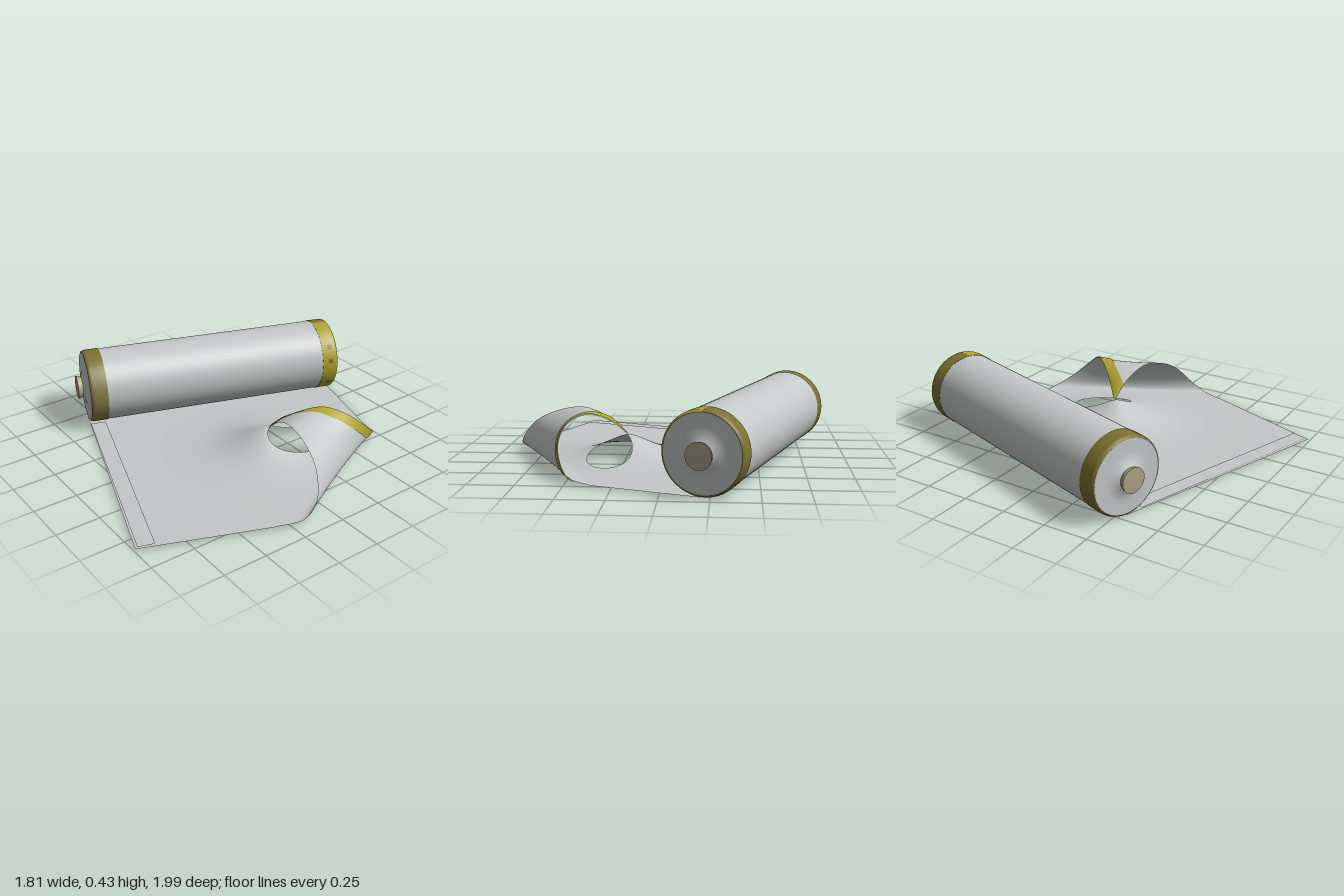
import * as THREE from 'three';

const R = 0.217, LEN = 1.554, BAND = 0.1;
const AXIS = new THREE.Vector3(0.3185, 0, -0.948).normalize(); // along the roll, front to back
const OUT = new THREE.Vector3(-AXIS.z, 0, AXIS.x);             // direction the sheet unrolls
const START = new THREE.Vector3(-0.705, 0.22, 0.545);          // centre of the roll's front end

const material = (name, color, side = THREE.FrontSide) => {
  const m = new THREE.MeshStandardMaterial({ color, side });
  m.name = name;
  return m;
};

// Surface from a rule fn(u, v) -> [x, y, z]
function surface(nu, nv, fn) {
  const pos = [], index = [];
  for (let i = 0; i <= nu; i++) for (let j = 0; j <= nv; j++) pos.push(...fn(i / nu, j / nv));
  for (let i = 0; i < nu; i++) for (let j = 0; j < nv; j++) {
    const a = i * (nv + 1) + j, b = a + nv + 1;
    index.push(a, b, a + 1, b, b + 1, a + 1);
  }
  const g = new THREE.BufferGeometry();
  g.setAttribute('position', new THREE.Float32BufferAttribute(pos, 3));
  g.setIndex(index);
  g.computeVertexNormals();
  return g;
}

// Height of the raised mound under the curled corner, and of the flat sheet
const mound = (x, z) => 0.135 * Math.exp(-Math.pow(Math.hypot(x - 0.235, z + 0.1) / 0.22, 1.5));
const flat = (x, z) => 0.006 + 0.007 * ((x - START.x) * OUT.x + (z - START.z) * OUT.z);

const curve = (pts) => new THREE.CatmullRomCurve3(pts.map((p) => new THREE.Vector3(...p)));
// Two edges of the curled corner, from the flat sheet up and over to the tip
const backEdge = curve([[0.36, 0.0102, -0.755], [0.475, 0.035, -0.71], [0.535, 0.1, -0.625], [0.558, 0.19, -0.525],
  [0.525, 0.265, -0.43], [0.44, 0.298, -0.34], [0.33, 0.245, -0.215], [0.23, 0.14, -0.11]]);
const sideEdge = curve([[0.86, 0.0159, 0.33], [0.905, 0.025, 0.17], [0.883, 0.085, 0.08], [0.79, 0.197, 0.01],
  [0.66, 0.265, -0.03], [0.5, 0.295, -0.06], [0.35, 0.245, -0.09], [0.23, 0.14, -0.11]]);

function curlPoint(t, s) {
  const p = backEdge.getPoint(t).lerp(sideEdge.getPoint(t), s);
  p.x -= 0.03 * Math.sin(Math.PI * s) * Math.sin(Math.PI * t);
  p.y += mound(p.x, p.z) * Math.max(0, 1 - t * 6);
  return p.toArray();
}

export function createModel() {
  const model = new THREE.Group();
  model.name = 'unrolledSheet';
  const grey = material('sheetGrey', 0xc5c8c8, THREE.DoubleSide);
  const yellow = material('bandYellow', 0xb0a42e, THREE.DoubleSide);
  const olive = material('bandOlive', 0x7b7130);
  const dullOlive = material('bandDullOlive', 0x847a46);
  const tan = material('hubTan', 0xaca286);
  const add = (parent, name, geometry, mat) => {
    const mesh = new THREE.Mesh(geometry, mat);
    mesh.name = name;
    parent.add(mesh);
  };

  // Roll, with its axis lying along local y and local z pointing up
  const roll = new THREE.Group();
  roll.name = 'roll';
  roll.quaternion.setFromRotationMatrix(new THREE.Matrix4().makeBasis(OUT, AXIS, new THREE.Vector3(0, 1, 0)));
  roll.position.copy(START);
  model.add(roll);
  const lathe = (pts, from = 0, sweep = Math.PI * 2, n = 64) =>
    new THREE.LatheGeometry(pts.map((p) => new THREE.Vector2(...p)), n, from, sweep);
  const flip = (pts) => pts.map(([r, y]) => [r, LEN - y]).reverse();

  add(roll, 'rollBody', lathe([[0.214, BAND - 0.002], [0.214, LEN - BAND + 0.002]]), grey);
  const band = [[0.205, 0], [0.213, 0.005], [R, 0.018], [R, BAND], [0.213, BAND]];
  add(roll, 'frontBandOuterPart', lathe(band, 0.6, Math.PI - 0.6, 32), dullOlive);
  add(roll, 'frontBandInnerPart', lathe(band, Math.PI, Math.PI + 0.6, 40), olive);
  add(roll, 'backBandOuterHalf', lathe(flip(band), 0, Math.PI, 32), yellow);
  add(roll, 'backBandInnerHalf', lathe(flip(band), Math.PI, Math.PI, 32), olive);

  // Small worn patches on the yellow half of the back band
  for (const angle of [0.9, 1.3, 2.05]) {
    add(roll, 'backBandPatch', lathe([[R + 0.002, LEN - 0.065], [R + 0.002, LEN - 0.035]], angle, 0.13, 4), olive);
  }

  // End faces flare out slightly towards the hubs
  const face = [[0.06, -0.022], [0.074, -0.014], [0.1, -0.004], [0.13, 0], [0.205, 0]];
  const hubSide = [[0.07, -0.051], [0.068, -0.036], [0.06, -0.02]];
  const hubEnd = [[0, -0.053], [0.07, -0.051]];
  for (const [end, place] of [['front', (p) => p], ['back', flip]]) {
    add(roll, end + 'Face', lathe(place(face)), grey);
    add(roll, end + 'HubSide', lathe(place(hubSide), 0, Math.PI * 2, 20), tan);
    add(roll, end + 'HubEnd', lathe(place(hubEnd), 0, Math.PI * 2, 20), tan);
  }

  // Flat sheet: rings spreading from the oval opening to the outline
  const outline = [[-0.705, 0.545], [0.595, 0.995], [0.725, 0.67], [0.86, 0.33], [0.36, -0.755], [-0.21, -0.928], [-0.705, 0.545]];
  const hole = { x: 0.325, z: -0.255, a: 0.125, b: 0.19 };
  const sides = outline.length - 1;
  add(model, 'flatSheet', surface(sides * 24, 24, (u, v) => {
    const k = Math.min(Math.floor(u * sides + 1e-6), sides - 1), f = u * sides - k;
    const ox = THREE.MathUtils.lerp(outline[k][0], outline[k + 1][0], f);
    const oz = THREE.MathUtils.lerp(outline[k][1], outline[k + 1][1], f);
    const angle = Math.atan2((oz - hole.z) / hole.b, (ox - hole.x) / hole.a);
    const w = Math.pow(v, 1.5);
    const x = THREE.MathUtils.lerp(hole.x + hole.a * Math.cos(angle), ox, w);
    const z = THREE.MathUtils.lerp(hole.z + hole.b * Math.sin(angle), oz, w);
    return [x, flat(x, z) + mound(x, z), z];
  }), grey);

  // Thin hem along the front edge
  add(model, 'frontHem', surface(1, 12, (u, v) => {
    const p = START.clone().addScaledVector(OUT, 0.1 + 1.27 * v).addScaledVector(AXIS, 0.09 * u);
    return [p.x, flat(p.x, p.z) + 0.006 , p.z];
  }), grey);

  // Curled corner with its coloured edge strip on the outside
  add(model, 'curledCorner', surface(60, 24, curlPoint), grey);
  const strip = surface(60, 4, (u, v) => {
    const t = 0.1 + 0.89 * u;
    const width = backEdge.getPoint(t).distanceTo(sideEdge.getPoint(t));
    return curlPoint(t, v * Math.min(1, 0.09 / width));
  });
  const p = strip.attributes.position, n = strip.attributes.normal;
  for (let i = 0; i < p.count; i++) {
    p.setXYZ(i, p.getX(i) + n.getX(i) * 0.005, p.getY(i) + n.getY(i) * 0.005, p.getZ(i) + n.getZ(i) * 0.005);
  }
  add(model, 'cornerEdgeStrip', strip, yellow);

  return model;
}
